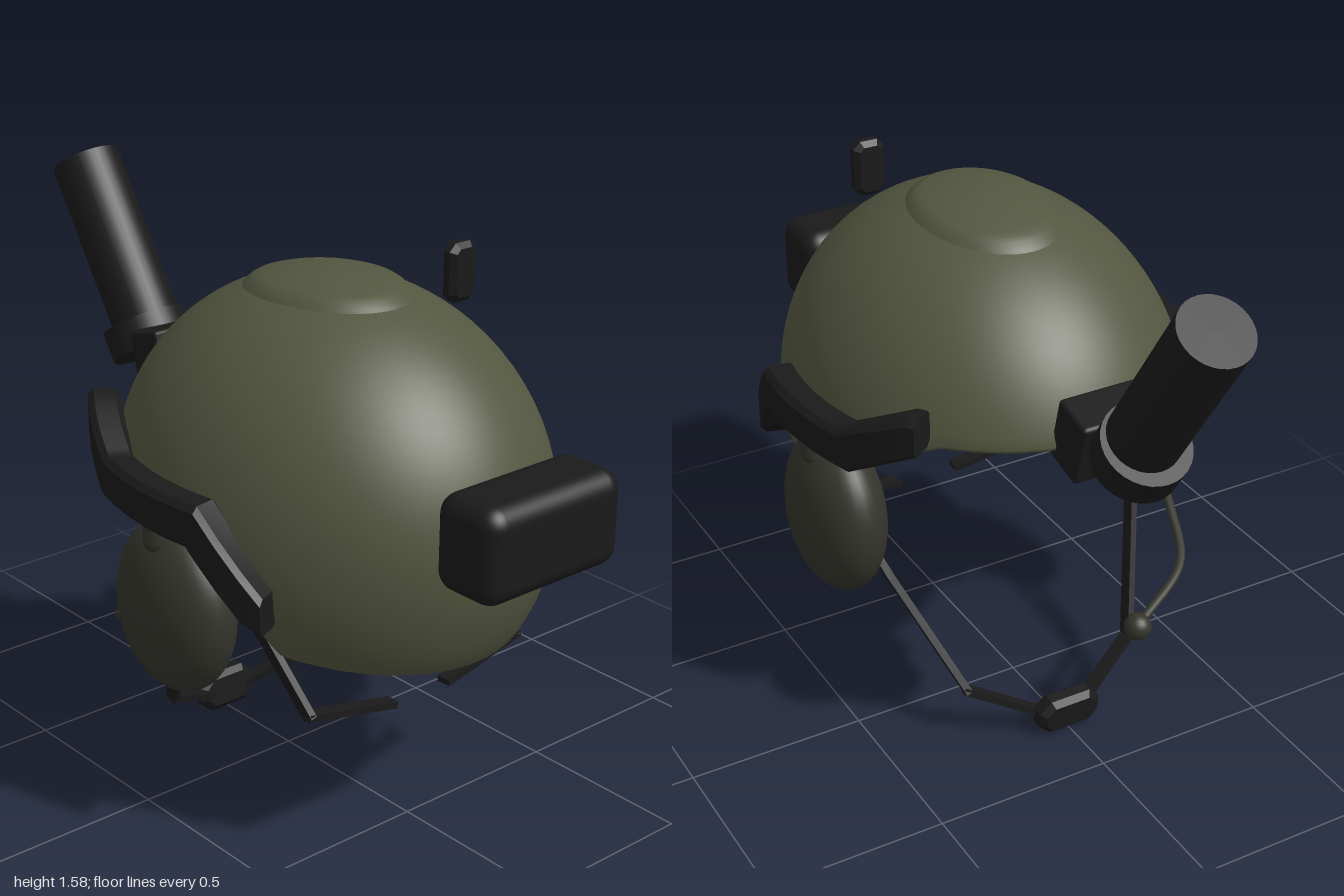
import * as THREE from 'three';
import { toCreasedNormals } from 'three/addons/utils/BufferGeometryUtils.js';
import { RoundedBoxGeometry } from 'three/addons/geometries/RoundedBoxGeometry.js';

const V = (x, y, z) => new THREE.Vector3(x, y, z);
const mat = (color) => new THREE.MeshStandardMaterial({ color });

// Dome ellipsoid shared by the shell, pad and rails
const C = V(0, 0.85, 0.18), R = V(0.53, 0.59, 0.65);

// Piecewise linear lookup through [z, value] pairs, z falling
function lerpZ(pts, z) {
  if (z >= pts[0][0]) return pts[0][1];
  for (let i = 1; i < pts.length; i++) {
    const [z0, v0] = pts[i - 1], [z1, v1] = pts[i];
    if (z >= z1) return v0 + (v1 - v0) * (z0 - z) / (z0 - z1);
  }
  return pts[pts.length - 1][1];
}

// Skin over closed rings of equal length
function loft(rings) {
  const n = rings[0].length, pos = [], idx = [];
  rings.forEach((r) => r.forEach((p) => pos.push(p.x, p.y, p.z)));
  for (let i = 0; i < rings.length - 1; i++) {
    for (let j = 0; j < n; j++) {
      const a = i * n + j, b = i * n + (j + 1) % n;
      idx.push(a, b, a + n, b, b + n, a + n);
    }
  }
  const g = new THREE.BufferGeometry();
  g.setAttribute('position', new THREE.Float32BufferAttribute(pos, 3));
  g.setIndex(idx);
  g.computeVertexNormals();
  return g;
}

// Shell: outer dome, rounded rim, inner dome, cut along a stepped rim line
function shellGeometry() {
  const rim = [[0.75, 0.55], [0.47, 0.6], [0.38, 0.78], [0.29, 0.89], [-0.06, 0.9], [-0.27, 1.0], [-0.47, 1.01]];
  const cols = 160, rows = 26, thick = 0.035;
  const at = (a, t, inset) => V(
    (R.x - inset) * Math.sin(t) * Math.cos(a),
    C.y + (R.y - inset) * Math.cos(t),
    C.z + (R.z - inset) * Math.sin(t) * Math.sin(a));
  const angles = [], ends = [];
  for (let j = 0; j < cols; j++) {
    const a = j / cols * Math.PI * 2;
    let t = 0.8;
    for (; t < 2.4; t += 0.002) {
      const p = at(a, t, 0);
      if (p.y < lerpZ(rim, p.z)) break;
    }
    angles.push(a);
    ends.push(t);
  }
  const ring = (f, inset, extra = 0) => angles.map((a, j) => at(a, ends[j] * f + extra, inset));
  const rings = [];
  for (let i = 0; i <= rows; i++) rings.push(ring(i / rows, 0));
  rings.push(ring(1, thick * 0.2, 0.016), ring(1, thick * 0.8, 0.016));
  for (let i = rows; i >= 0; i--) rings.push(ring(i / rows, thick));
  return loft(rings);
}

// Low oval pad that follows the crown
function padGeometry() {
  const rings = [];
  for (let i = 0; i <= 16; i++) {
    const r = i / 16;
    const lift = 0.016 * (1 - THREE.MathUtils.smoothstep(r, 0.82, 1)) - (i === 16 ? 0.006 : 0);
    rings.push(Array.from({ length: 56 }, (_, j) => {
      const a = j / 56 * Math.PI * 2;
      const x = 0.2 * r * Math.cos(a), z = 0.155 + 0.265 * r * Math.sin(a);
      const y = C.y + R.y * Math.sqrt(1 - (x / R.x) ** 2 - ((z - C.z) / R.z) ** 2);
      return V(x, y + lift, z);
    }));
  }
  return loft(rings);
}

// Side rail: chamfered section swept along the flank
function railGeometry(side) {
  const top = [[0.49, 0.8], [0.32, 1.0], [-0.05, 1.0], [-0.23, 1.1]];
  const bottom = [[0.49, 0.7], [0.44, 0.72], [0.29, 0.88], [-0.07, 0.88], [-0.25, 0.995]];
  const rings = [], c = 0.016, depth = 0.07;
  const stations = [0.49, 0.44, 0.38, 0.32, 0.29, 0.22, 0.14, 0.06, -0.01, -0.05, -0.07, -0.13, -0.18, -0.23, -0.25];
  for (const z of stations) {
    const x = R.x * Math.sqrt(1 - ((z - C.z) / R.z) ** 2 - 0.015);
    const n = V(x / R.x ** 2, 0, (z - C.z) / R.z ** 2).normalize();
    const t = lerpZ(top, z), b = lerpZ(bottom, z);
    const section = [[depth - c, t], [depth, t - c], [depth, b + c], [depth - c, b],
      [c - 0.02, b], [-0.02, b + c], [-0.02, t - c], [c - 0.02, t]];
    const ring = section.map(([d, y]) => V(side * (x + n.x * d), y, z + n.z * d));
    rings.push(side > 0 ? ring : ring.reverse());
  }
  // close both ends
  const cap = (ring) => {
    const m = ring.reduce((s, p) => s.add(p), V(0, 0, 0)).divideScalar(ring.length);
    return ring.map(() => m);
  };
  rings.unshift(cap(rings[0]));
  rings.push(cap(rings[rings.length - 1]));
  return toCreasedNormals(loft(rings), 0.5);
}

// Block with cut corners and bevelled faces
function chamferBlock(w, h, d, cut, bevel) {
  const x = w / 2 - bevel, y = h / 2 - bevel;
  const s = new THREE.Shape([[x - cut, -y], [x, cut - y], [x, y - cut], [x - cut, y],
    [cut - x, y], [-x, y - cut], [-x, cut - y], [cut - x, -y]].map(([a, b]) => new THREE.Vector2(a, b)));
  const g = new THREE.ExtrudeGeometry(s, {
    depth: d - 2 * bevel, bevelEnabled: true, bevelThickness: bevel, bevelSize: bevel, bevelSegments: 1 });
  return g.translate(0, 0, bevel - d / 2);
}

export function createModel() {
  const group = new THREE.Group();
  const olive = mat(0x53563f), black = mat(0x1a1a1a), dark = mat(0x35352d);
  const add = (name, geo, material, x = 0, y = 0, z = 0, rx = 0, parent = group) => {
    const m = new THREE.Mesh(geo, material);
    m.name = name;
    m.position.set(x, y, z);
    m.rotation.x = rx;
    parent.add(m);
    return m;
  };

  // Flat webbing made of one box per span
  const strap = (name, pts, width, thick) => {
    const g = new THREE.Group();
    g.name = name;
    for (let i = 1; i < pts.length; i++) {
      const dir = pts[i].clone().sub(pts[i - 1]), len = dir.length();
      dir.normalize();
      const wide = V(0, 0, 1).addScaledVector(dir, -dir.z).normalize();
      const thin = wide.clone().cross(dir);
      const m = add('strapSpan', new THREE.BoxGeometry(len + thick, thick, width), black, 0, 0, 0, 0, g);
      m.quaternion.setFromRotationMatrix(new THREE.Matrix4().makeBasis(dir, thin, wide));
      m.position.copy(pts[i]).add(pts[i - 1]).multiplyScalar(0.5);
    }
    group.add(g);
  };

  // Shell and its fittings
  add('shell', shellGeometry(), olive);
  add('crownPad', padGeometry(), olive);
  add('batteryPack', new RoundedBoxGeometry(0.46, 0.255, 0.205, 5, 0.055), black, 0, 0.973, 0.897);
  add('beacon', chamferBlock(0.09, 0.155, 0.048, 0.012, 0.014), black, 0.205, 1.465, 0.425);

  // Goggle mount and tube
  const tilt = -0.582;
  add('mountPlate', new RoundedBoxGeometry(0.24, 0.185, 0.13, 2, 0.012), black, 0, 1.045, -0.475, -0.25);
  add('tubeCollar', new THREE.CylinderGeometry(0.12, 0.12, 0.09, 32), black, 0, 1.065, -0.63, tilt);
  add('opticTube', new THREE.CylinderGeometry(0.098, 0.098, 0.55, 32), black, 0, 1.297, -0.764, tilt);

  for (const s of [1, -1]) {
    const side = s > 0 ? 'left' : 'right';
    add(side + 'Rail', railGeometry(s), black);

    // Ear cup with its hanger
    add(side + 'EarCup', new THREE.SphereGeometry(1, 36, 24).scale(0.12, 0.238, 0.205), dark, s * 0.482, 0.635, 0.125);
    add(side + 'CupHanger', new THREE.CapsuleGeometry(0.04, 0.06, 6, 16), dark, s * 0.535, 0.865, 0.125);

    // Straps
    strap(side + 'ChinStrap', [V(s * 0.45, 0.62, 0.1), V(s * 0.39, 0.46, 0), V(s * 0.26, 0.15, -0.2), V(s * 0.05, 0.05, -0.29)], 0.036, 0.02);
    strap(side + 'NapeStrap', [V(s * 0.46, 0.82, 0.275), V(s * 0.365, 0.43, 0.515), V(s * 0.1, 0.382, 0.53)], 0.042, 0.018);
  }

  add('chinCup', chamferBlock(0.19, 0.113, 0.064, 0.025, 0.016), black, 0, 0.058, -0.3, -0.12);

  // Microphone boom on the right cup
  const boom = new THREE.CatmullRomCurve3([V(-0.47, 0.56, 0), V(-0.435, 0.49, -0.14), V(-0.37, 0.415, -0.29), V(-0.16, 0.352, -0.41)]);
  add('microphoneBoom', new THREE.TubeGeometry(boom, 32, 0.013, 10), dark);
  add('microphone', new THREE.SphereGeometry(0.038, 20, 14), dark, -0.155, 0.35, -0.412);

  return group;
}
